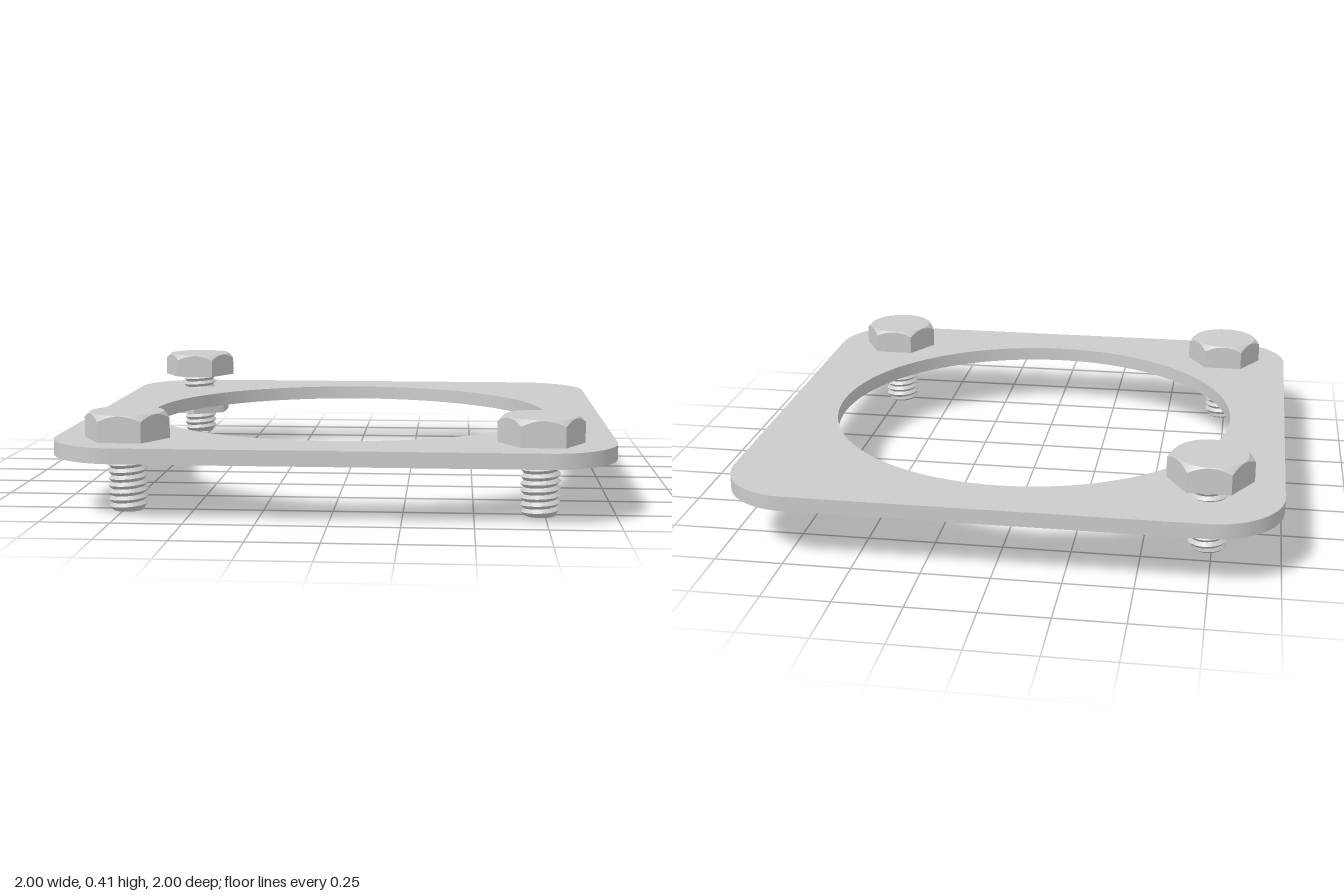
import * as THREE from 'three';
import { toCreasedNormals } from 'three/addons/utils/BufferGeometryUtils.js';

const steel = new THREE.MeshStandardMaterial({ color: 0xcccccc });

// Skin a stack of rings (bottom to top) given by point(row, angle) -> [radius, y]
function skin(rows, segs, point) {
  const pos = [], index = [];
  for (let i = 0; i < rows; i++) {
    for (let j = 0; j <= segs; j++) {
      const a = (j / segs) * Math.PI * 2;
      const [r, y] = point(i, a);
      pos.push(r * Math.cos(a), y, -r * Math.sin(a));
    }
  }
  const w = segs + 1;
  for (let i = 0; i < rows - 1; i++) {
    for (let j = 0; j < segs; j++) {
      const a = i * w + j, b = a + 1, c = a + w, d = c + 1;
      index.push(a, b, d, a, d, c);
    }
  }
  const g = new THREE.BufferGeometry();
  g.setAttribute('position', new THREE.Float32BufferAttribute(pos, 3));
  g.setIndex(index);
  return toCreasedNormals(g, 0.4);
}

// Distance from the centre to the edge of a hexagon with corners on the x axis
function hexRadius(apothem, angle) {
  const step = Math.PI / 3;
  return apothem / Math.cos((angle % step) - step / 2);
}

// Hexagon prism whose top corners are cut by a cone
function headGeometry(apothem, height) {
  return skin(5, 60, (i, a) => {
    const r = hexRadius(apothem, a);
    const flat = apothem * 0.985;
    return [[0, 0], [r, 0], [r, height - (r - flat)], [flat, height], [0, height]][i];
  });
}

// Helical thread: crests and roots alternate while each row climbs one pitch per turn
function threadGeometry(radius, depth, pitch, length) {
  const turns = Math.ceil(length / pitch) + 1;
  const rows = turns * 2 + 3;
  return skin(rows + 2, 32, (i, a) => {
    if (i === 0) return [0, 0];
    if (i === rows + 1) return [0, length];
    const y = THREE.MathUtils.clamp(((i - 1) / 2 - 1 + a / (Math.PI * 2)) * pitch, 0, length);
    const r = i % 2 ? radius : radius - depth;
    return [Math.min(r, radius - 0.016 + y, radius - 0.012 + length - y), y];
  });
}

// Plate with rounded corners, a large opening and a loose bolt hole
function plateGeometry(bottom, thickness) {
  const R = 0.26, c = 1 - R;
  const shape = new THREE.Shape();
  shape.absarc(c, c, R, 0, Math.PI / 2);
  shape.absarc(-c, c, R, Math.PI / 2, Math.PI);
  shape.absarc(-c, -c, R, Math.PI, Math.PI * 1.5);
  shape.absarc(c, -c, R, Math.PI * 1.5, Math.PI * 2);
  shape.closePath();
  for (const [x, y, r] of [[0, 0, 0.787], [0.76, -0.78, 0.075]]) {
    shape.holes.push(new THREE.Path().absarc(x, y, r, 0, Math.PI * 2, true));
  }
  const g = new THREE.ExtrudeGeometry(shape, { depth: thickness, bevelEnabled: false, curveSegments: 48 });
  g.rotateX(-Math.PI / 2).translate(0, bottom, 0);
  return toCreasedNormals(g, 0.5);
}

export function createModel() {
  const model = new THREE.Group();
  model.name = 'boltedFlange';
  const add = (parent, name, geometry, x = 0, y = 0, z = 0) => {
    const mesh = new THREE.Mesh(geometry, steel);
    mesh.name = name;
    mesh.position.set(x, y, z);
    parent.add(mesh);
    return mesh;
  };

  add(model, 'plate', plateGeometry(0.205, 0.055));

  // Two seated bolts at the front and one raised bolt at the back
  const shankLength = 0.26;
  const head = headGeometry(0.133, 0.096);
  const thread = threadGeometry(0.071, 0.012, 0.025, shankLength);
  const bolts = [
    ['frontRightBolt', -0.737, 0, 0.756],
    ['frontLeftBolt', 0.733, 0, 0.756],
    ['backRightBolt', -0.737, 0.058, -0.75],
  ];
  for (const [name, x, y, z] of bolts) {
    const bolt = new THREE.Group();
    bolt.name = name;
    bolt.position.set(x, y, z);
    add(bolt, 'boltHead', head, 0, shankLength, 0);
    add(bolt, 'threadedShank', thread);
    model.add(bolt);
  }

  // Nut on the raised bolt, turned so its corners point along z
  const nutShape = new THREE.Shape();
  for (let i = 0; i < 6; i++) {
    const a = (i * Math.PI) / 3 + Math.PI / 6;
    nutShape[i ? 'lineTo' : 'moveTo'](0.143 * Math.cos(a), 0.143 * Math.sin(a));
  }
  nutShape.closePath();
  nutShape.holes.push(new THREE.Path().absarc(0, 0, 0.07, 0, Math.PI * 2, true));
  const nut = new THREE.ExtrudeGeometry(nutShape, { depth: 0.046, bevelEnabled: false, curveSegments: 24 });
  nut.rotateX(-Math.PI / 2);
  add(model, 'nut', toCreasedNormals(nut, 0.5), -0.742, 0.151, -0.744);

  return model;
}
